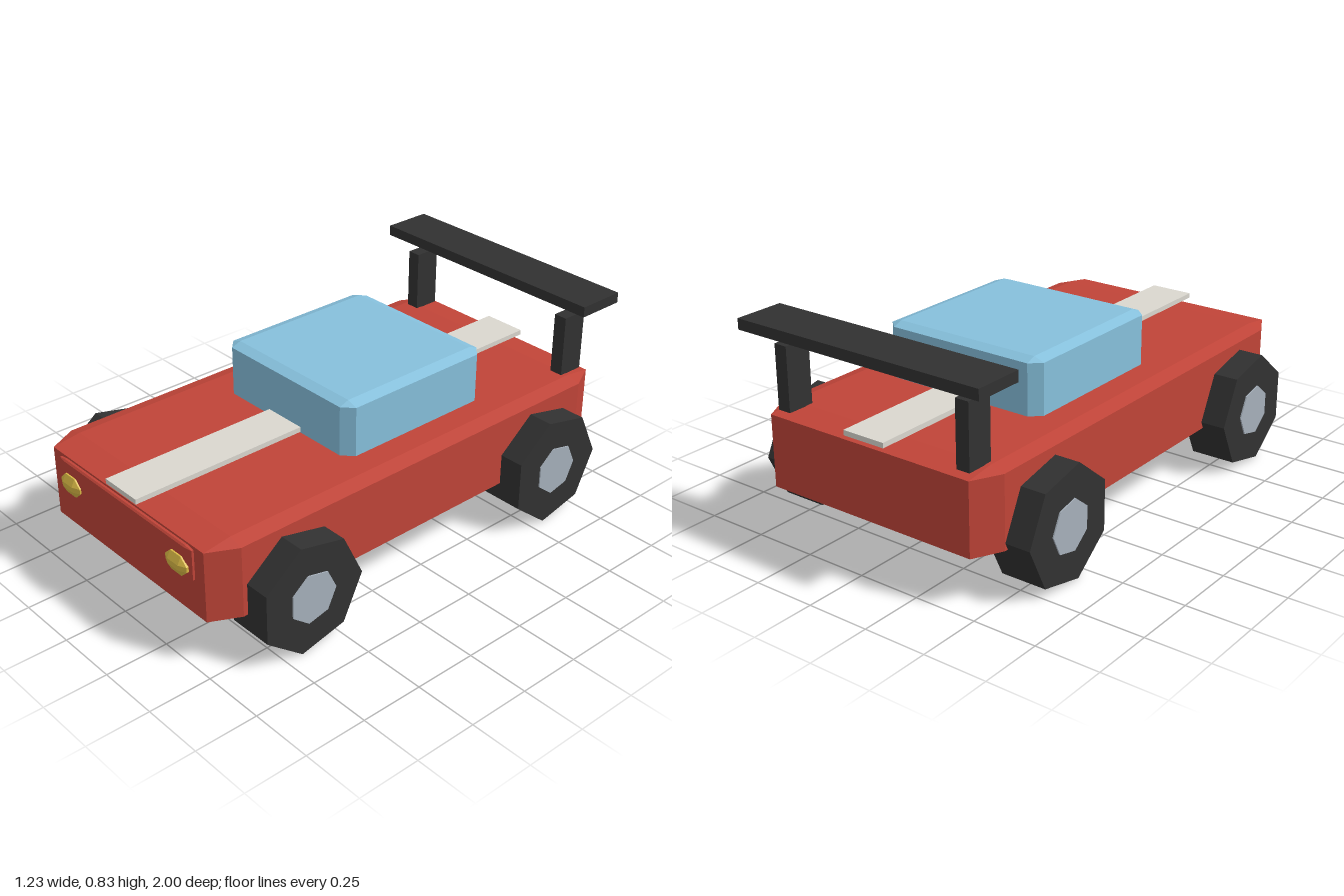
import * as THREE from 'three';
import { ConvexGeometry } from 'three/addons/geometries/ConvexGeometry.js';

const material = (name, color) => {
  const m = new THREE.MeshStandardMaterial({ color });
  m.name = name;
  return m;
};

// Box with half sizes h whose edges are cut back to the half sizes f on each flat face
function chamferedBox(h, f) {
  const points = [];
  for (const sx of [-1, 1]) for (const sy of [-1, 1]) for (const sz of [-1, 1]) {
    for (let axis = 0; axis < 3; axis++) {
      const p = f.map((v, i) => (i === axis ? h[i] : v));
      points.push(new THREE.Vector3(p[0] * sx, p[1] * sy, p[2] * sz));
    }
  }
  return new ConvexGeometry(points);
}

// Seven-sided cylinder lying along x, with one corner pointing back
function heptagon(radius, width) {
  return new THREE.CylinderGeometry(radius, radius, width, 7, 1, false, Math.PI)
    .rotateZ(Math.PI / 2).toNonIndexed();
}

export function createModel() {
  const paint = material('red paint', 0xc04438);
  const glass = material('blue glass', 0x86c0dc);
  const black = material('black', 0x313131);
  const stripePaint = material('pale stripe', 0xdad7cf);
  const metal = material('grey metal', 0xa6b0bb);
  const lamp = material('yellow lamp', 0xd9b945);

  const model = new THREE.Group();
  model.name = 'car';
  const add = (name, geometry, mat, x, y, z, parent = model) => {
    const mesh = new THREE.Mesh(geometry, mat);
    mesh.name = name;
    mesh.position.set(x, y, z);
    parent.add(mesh);
    return mesh;
  };

  // Body shell, nose panel and cabin
  add('body', chamferedBox([0.508, 0.157, 0.96], [0.45, 0.141, 0.847]), paint, 0, 0.335, 0.005);
  add('nosePanel', chamferedBox([0.397, 0.066, 0.04], [0.363, 0.06, 0.034]), paint, 0, 0.402, 0.94);
  add('cabin', chamferedBox([0.35, 0.155, 0.348], [0.307, 0.14, 0.308]), glass, 0, 0.551, -0.108);

  // Stripe along the whole car
  add('stripe', new THREE.BoxGeometry(0.18, 0.02, 1.94), stripePaint, 0, 0.505, 0.008);

  // Rear wing
  add('wing', new THREE.BoxGeometry(1.07, 0.042, 0.2), black, 0, 0.81, -0.9);

  // Mirrored parts
  const tireGeometry = heptagon(0.226, 0.182);
  const hubGeometry = heptagon(0.102, 0.192);
  tireGeometry.computeVertexNormals();
  hubGeometry.computeVertexNormals();
  const postGeometry = new THREE.BoxGeometry(0.055, 0.25, 0.11);
  const lampGeometry = chamferedBox([0.06, 0.039, 0.03], [0.029, 0.01, 0.016]);
  for (const [side, s] of [['left', 1], ['right', -1]]) {
    add(side + 'WingPost', postGeometry, black, s * 0.407, 0.615, -0.875);
    add(side + 'Headlight', lampGeometry, lamp, s * 0.32, 0.38, 0.97);
    for (const [end, z] of [['Front', 0.63], ['Rear', -0.615]]) {
      const wheel = new THREE.Group();
      wheel.name = side + end + 'Wheel';
      wheel.position.set(s * 0.518, 0.222, z);
      add('tire', tireGeometry, black, 0, 0, 0, wheel);
      add('hub', hubGeometry, metal, 0, 0, 0, wheel);
      model.add(wheel);
    }
  }
  return model;
}
